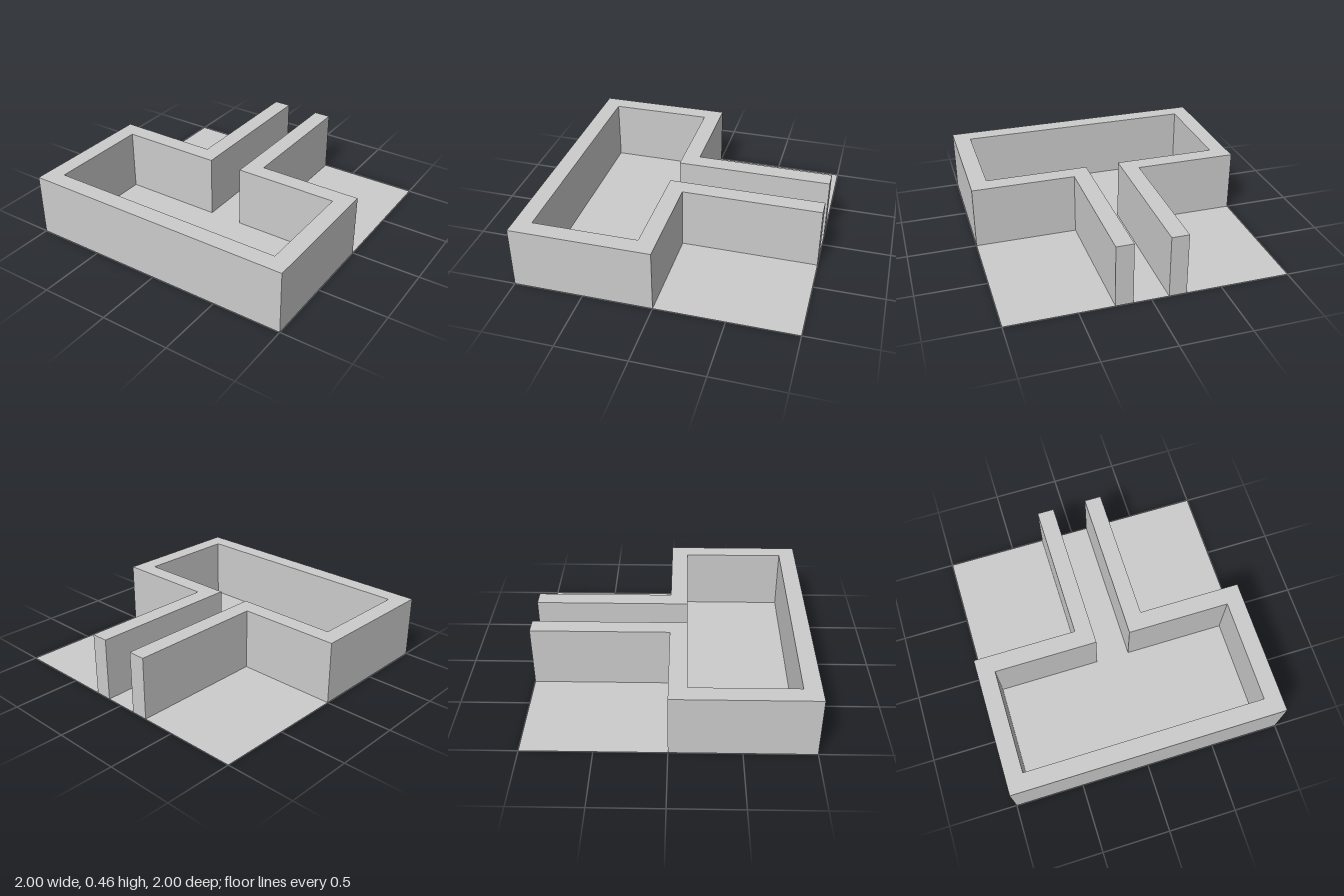
import * as THREE from 'three';

const HEIGHT = 0.456;

export function createModel() {
  const group = new THREE.Group();
  const material = new THREE.MeshStandardMaterial({
    color: 0xcccccc, flatShading: true, side: THREE.DoubleSide,
  });

  const add = (name, geometry) => {
    const mesh = new THREE.Mesh(geometry, material);
    mesh.name = name;
    group.add(mesh);
  };

  // Horizontal sheet facing up, from [x, z] plan points
  const sheet = (points, y) => {
    const shape = new THREE.Shape(points.map(([x, z]) => new THREE.Vector2(x, -z)));
    return new THREE.ShapeGeometry(shape).rotateX(-Math.PI / 2).translate(0, y, 0);
  };

  // Upright faces along a closed plan outline, open above and below
  const band = (points, height) => {
    const positions = [];
    points.forEach(([ax, az], i) => {
      const [bx, bz] = points[(i + 1) % points.length];
      positions.push(ax, 0, az, bx, 0, bz, bx, height, bz);
      positions.push(ax, 0, az, bx, height, bz, ax, height, az);
    });
    const geometry = new THREE.BufferGeometry();
    geometry.setAttribute('position', new THREE.Float32BufferAttribute(positions, 3));
    geometry.computeVertexNormals();
    return geometry;
  };

  // T-shaped path from the back left round the front to the back right
  const mirrored = (half) => [...half.map(([x, z]) => [-x, z]), ...[...half].reverse()];
  const outer = mirrored([[0.25, -1], [0.25, 0], [1, 0], [1, 1]]);
  const inner = mirrored([[0.125, -1], [0.125, 0.125], [0.875, 0.125], [0.875, 0.875]]);
  const wallOutline = [...outer, ...[...inner].reverse()];

  // Hollow walls with a flat top and no underside
  add('wallSides', band(wallOutline, HEIGHT));
  add('wallTop', sheet(wallOutline, HEIGHT));

  // Thin floors: room with corridor, and a ground patch on each side
  add('roomFloor', sheet(inner, 0));
  for (const [name, s] of [['leftGround', 1], ['rightGround', -1]]) {
    add(name, sheet([[s * 0.25, -1], [s * 0.25, 0], [s, 0], [s, -1]], 0));
  }
  return group;
}
